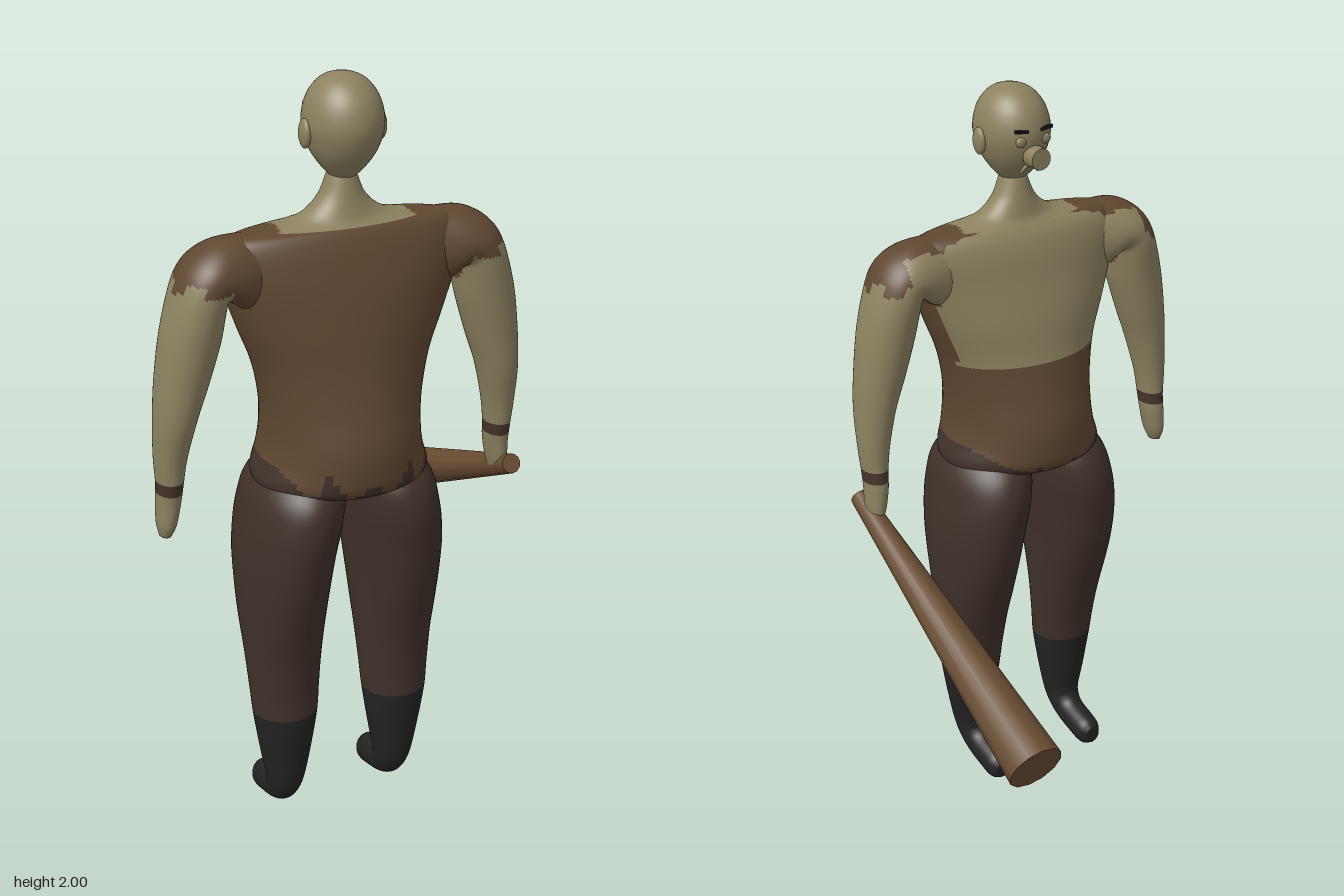
import * as THREE from 'three';

const mat = (name, color) => Object.assign(new THREE.MeshStandardMaterial({ color }), { name });
const skin = mat('skin', 0x8c8260), shirt = mat('shirt brown', 0x5f4730), trousers = mat('trouser brown', 0x40312a);
const boot = mat('boot black', 0x232323), wood = mat('wood', 0x684c31), band = mat('band brown', 0x46342a), black = mat('brow black', 0x121212);
const palette = [skin, shirt, trousers, boot, band];
const SKIN = 0, SHIRT = 1, TROUSERS = 2, BOOT = 3, BAND = 4;

// Smooth loft. Each ring: [p1, y1, p2, y2, crossCentre, crossHalf]; p is z and cross is x (swapped when alongX).
// pick(|x|, y, z) gives the palette index of each face.
function loft(name, rings, { alongX = false, side = 1, steps = 6, segs = 48, pick }) {
  const curve = f => new THREE.CatmullRomCurve3(rings.map(f), false, 'catmullrom');
  const A = curve(r => new THREE.Vector3(r[0], r[1], 0));
  const B = curve(r => new THREE.Vector3(r[2], r[3], 0));
  const C = curve(r => new THREE.Vector3(r[4], r[5], 0));
  const n = (rings.length - 1) * steps, pos = [], last = n + 2;
  for (let i = 0; i <= last; i++) {
    const t = Math.min(Math.max((i - 1) / n, 0), 1), k = i === 0 || i === last ? 0 : 1;
    const a = A.getPoint(t), b = B.getPoint(t), c = C.getPoint(t);
    for (let j = 0; j < segs; j++) {
      const w = j / segs * Math.PI * 2, u = 0.5 + 0.5 * Math.cos(w) * k;
      const p = a.x + (b.x - a.x) * u, y = a.y + (b.y - a.y) * u, q = c.x + c.y * Math.sin(w) * k;
      pos.push(side * (alongX ? p : q), y, alongX ? q : p);
    }
  }
  const V = i => new THREE.Vector3().fromArray(pos, i * 3);
  const buckets = palette.map(() => []);
  let volume = 0;
  for (let i = 0; i < last; i++) for (let j = 0; j < segs; j++) {
    const a = i * segs + j, b = i * segs + (j + 1) % segs, c = a + segs, d = b + segs;
    const m = V(a).add(V(b)).add(V(c)).add(V(d)).multiplyScalar(0.25);
    const out = buckets[pick(Math.abs(m.x), m.y, m.z)];
    if (i > 0) out.push([a, b, c]);
    if (i < last - 1) out.push([b, d, c]);
    else out.push([a, b, d]);
    volume += V(a).dot(V(b).cross(V(c))) + V(b).dot(V(d).cross(V(c)));
  }
  const g = new THREE.BufferGeometry(), index = [];
  g.setAttribute('position', new THREE.Float32BufferAttribute(pos, 3));
  buckets.forEach((tris, k) => {
    if (!tris.length) return;
    g.addGroup(index.length, tris.length * 3, k);
    tris.forEach(t => index.push(...(volume < 0 ? [t[0], t[2], t[1]] : t)));
  });
  g.setIndex(index);
  g.computeVertexNormals();
  const mesh = new THREE.Mesh(g, palette);
  mesh.name = name;
  return mesh;
}

// Piecewise linear lookup for ragged hems
function lerpTable(x, table) {
  for (let i = 1; i < table.length; i++) {
    const [x0, y0] = table[i - 1], [x1, y1] = table[i];
    if (x <= x1) return y0 + (y1 - y0) * (x - x0) / (x1 - x0);
  }
  return table[table.length - 1][1];
}
const backHem = [[0, 1.03], [0.055, 0.985], [0.11, 1.06], [0.14, 0.985], [0.2, 1.05]];
const frontHem = [[0, 1.0], [0.03, 0.98], [0.05, 1.01], [0.08, 0.99], [0.2, 1.05]];

function torsoColour(x, y, z) {
  if (y < lerpTable(x, z > 0.3 ? backHem : frontHem)) return TROUSERS;
  if (y > 1.641 && x < 0.17 && z < 0.39) return SKIN;
  return y > 1.285 && z < 0.255 ? SKIN : SHIRT;
}
function armColour(x, y, z) {
  if (y > 1.005 && y < 1.035) return BAND;
  if (x < 0.31 && y > 1.44) return torsoColour(x, y, z);
  const ragged = 1.535 + (Math.sin(z * 70) > 0 ? 0.015 : -0.012);
  if (y < ragged) return SKIN;
  return x < 0.36 && z < 0.26 ? SKIN : SHIRT;
}

function createModel() {
  const group = new THREE.Group(), figure = new THREE.Group();
  figure.name = 'figure';
  figure.position.x = -0.026;
  group.add(figure);
  const add = (name, geo, material, x, y, z) => {
    const m = new THREE.Mesh(geo, material);
    m.name = name;
    m.position.set(x, y, z);
    figure.add(m);
    return m;
  };

  // Torso and neck: [y, z front, z back, half width]
  const torso = [
    [0.94, 0.25, 0.37, 0.1], [0.97, 0.15, 0.46, 0.2], [1.0, 0.104, 0.508, 0.226], [1.06, 0.095, 0.52, 0.208],
    [1.12, 0.1, 0.518, 0.2], [1.2, 0.12, 0.5, 0.205], [1.3, 0.143, 0.48, 0.228], [1.4, 0.16, 0.465, 0.268],
    [1.5, 0.185, 0.445, 0.305], [1.57, 0.202, 0.424, 0.325], [1.61, 0.217, 0.408, 0.32], [1.633, 0.232, 0.395, 0.28],
    [1.645, 0.242, 0.384, 0.18], [1.66, 0.25, 0.375, 0.11], [1.7, 0.258, 0.363, 0.06], [1.76, 0.27, 0.35, 0.033],
  ].map(([y, f, b, h]) => [f, y, b, y, 0, h]);
  figure.add(loft('torso', torso, { steps: 8, segs: 64, pick: torsoColour }));

  // Arms with hands
  const arm = [
    [0.2, 1.64, 0.2, 1.42, 0.313, 0.07], [0.3, 1.637, 0.26, 1.45, 0.313, 0.09], [0.355, 1.62, 0.295, 1.48, 0.313, 0.096],
    [0.4, 1.585, 0.303, 1.485, 0.313, 0.097], [0.43, 1.53, 0.308, 1.46, 0.313, 0.096], [0.462, 1.42, 0.32, 1.39, 0.315, 0.086],
    [0.48, 1.3, 0.35, 1.29, 0.315, 0.075], [0.487, 1.2, 0.381, 1.2, 0.315, 0.065], [0.487, 1.1, 0.405, 1.1, 0.308, 0.05],
    [0.482, 1.03, 0.415, 1.03, 0.304, 0.044], [0.481, 0.98, 0.42, 0.98, 0.298, 0.042], [0.481, 0.92, 0.432, 0.92, 0.296, 0.038],
    [0.475, 0.885, 0.445, 0.885, 0.295, 0.022],
  ];
  // Legs with curled boots
  const leg = [
    [0.2, 1.05, 0.41, 1.05, 0.1, 0.07], [0.13, 0.98, 0.48, 0.98, 0.118, 0.112], [0.106, 0.9, 0.497, 0.9, 0.133, 0.121],
    [0.116, 0.8, 0.484, 0.8, 0.148, 0.121], [0.137, 0.7, 0.465, 0.7, 0.154, 0.115], [0.17, 0.6, 0.44, 0.6, 0.156, 0.108],
    [0.206, 0.5, 0.418, 0.5, 0.156, 0.099], [0.233, 0.4, 0.408, 0.4, 0.156, 0.091], [0.247, 0.32, 0.406, 0.32, 0.156, 0.084],
    [0.266, 0.2, 0.39, 0.2, 0.156, 0.065], [0.275, 0.14, 0.376, 0.115, 0.156, 0.05], [0.268, 0.118, 0.345, 0.062, 0.156, 0.043],
    [0.25, 0.105, 0.3, 0.032, 0.156, 0.04], [0.21, 0.094, 0.24, 0.013, 0.156, 0.039], [0.178, 0.084, 0.19, 0.002, 0.156, 0.036],
    [0.158, 0.066, 0.164, 0.014, 0.156, 0.022],
  ];
  for (const side of [1, -1]) {
    const label = side > 0 ? 'Right' : 'Left';
    figure.add(loft('arm' + label, arm, { alongX: true, side, steps: 8, pick: armColour }));
    figure.add(loft('leg' + label, leg, { side, pick: (x, y) => (y < 0.33 ? BOOT : TROUSERS) }));
  }

  // Egg-shaped head
  const outline = new THREE.SplineCurve([
    [0, 1.742], [0.028, 1.75], [0.06, 1.785], [0.083, 1.825], [0.096, 1.88], [0.084, 1.94], [0.05, 1.983], [0, 2],
  ].map(p => new THREE.Vector2(...p))).getPoints(32);
  outline.forEach(p => { p.x = Math.max(p.x, 0); });
  add('head', new THREE.LatheGeometry(outline, 40), skin, 0, 0, 0.314).scale.z = 1.17;

  // Face, looking toward -z
  add('nose', new THREE.CylinderGeometry(0.03, 0.028, 0.04, 20).rotateX(Math.PI / 2), skin, 0, 1.831, 0.195);
  add('mouth', new THREE.TorusGeometry(0.024, 0.005, 8, 16, Math.PI), skin, 0, 1.785, 0.232).rotation.x = -0.4;
  for (const s of [1, -1]) {
    add('ear', new THREE.SphereGeometry(1, 20, 14), skin, s * 0.097, 1.861, 0.315).scale.set(0.013, 0.036, 0.025);
    add('eye', new THREE.SphereGeometry(1, 16, 12), skin, s * 0.036, 1.872, 0.212).scale.set(0.016, 0.014, 0.009);
    add('eyebrow', new THREE.BoxGeometry(0.038, 0.008, 0.009), black, s * 0.036, 1.9, 0.209).rotation.z = s * 0.12;
  }

  // Wooden club held in the hand
  const grip = new THREE.Vector3(0.44, 0.93, 0.362), tip = new THREE.Vector3(0.44, 0.547, -0.49);
  const axis = tip.clone().sub(grip);
  const club = new THREE.Mesh(new THREE.CylinderGeometry(0.074, 0.026, axis.length(), 12), wood);
  club.name = 'club';
  club.position.copy(grip).add(tip).multiplyScalar(0.5);
  club.quaternion.setFromUnitVectors(new THREE.Vector3(0, 1, 0), axis.normalize());
  group.add(club);
  return group;
}

export { createModel };
